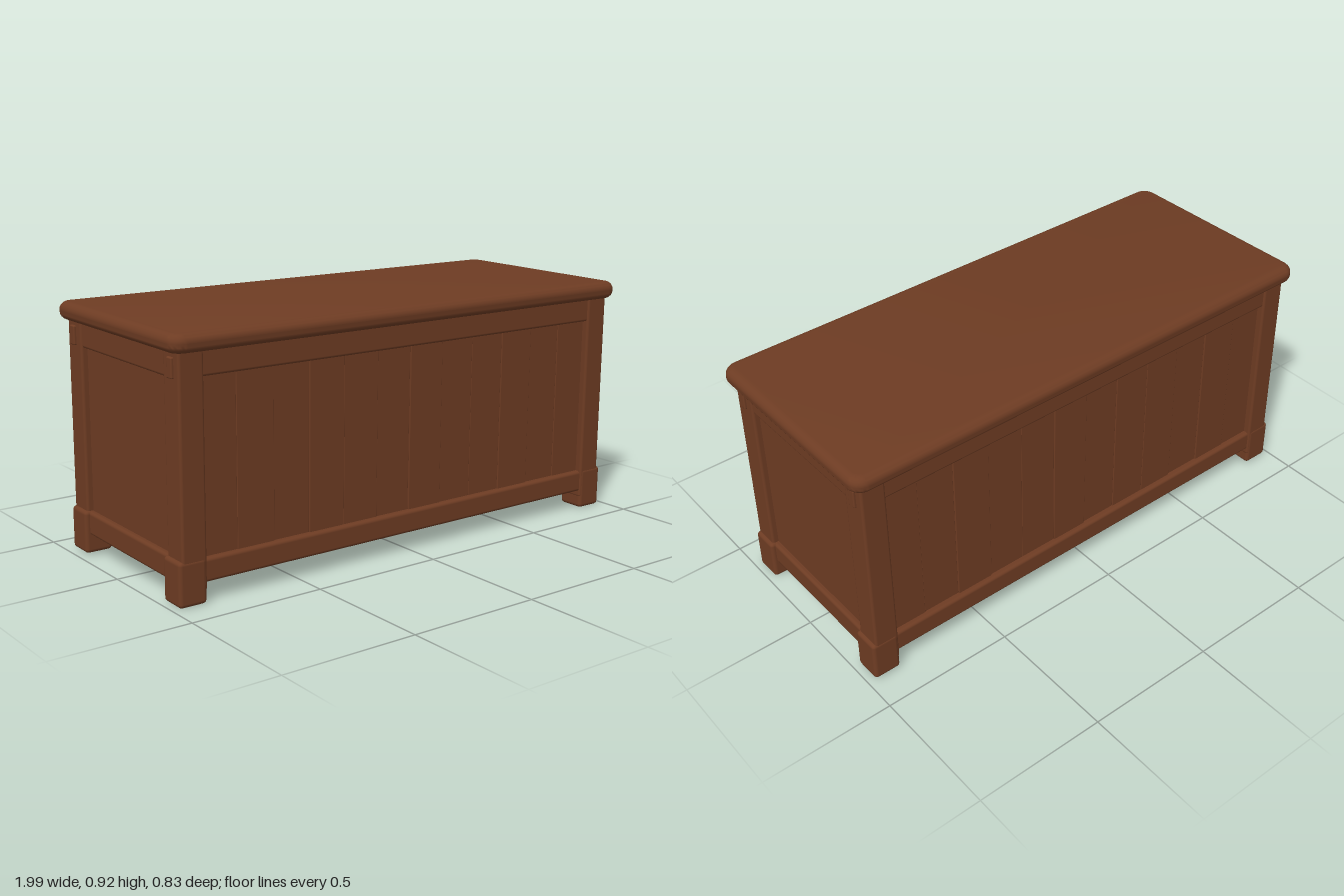
import * as THREE from 'three';
import { toCreasedNormals } from 'three/addons/utils/BufferGeometryUtils.js';
import { RoundedBoxGeometry } from 'three/addons/geometries/RoundedBoxGeometry.js';

const wood = new THREE.MeshStandardMaterial({ color: 0x6e3c23 });
wood.name = 'brown wood';

// Softened box given by its extents on each axis
function block(parent, name, [x0, x1], [y0, y1], [z0, z1], radius = 0.01) {
  const w = x1 - x0, h = y1 - y0, d = z1 - z0;
  const geo = radius > 0 ? new RoundedBoxGeometry(w, h, d, 2, radius) : new THREE.BoxGeometry(w, h, d);
  const mesh = new THREE.Mesh(geo, wood);
  mesh.name = name;
  mesh.position.set((x0 + x1) / 2, (y0 + y1) / 2, (z0 + z1) / 2);
  parent.add(mesh);
  return mesh;
}

// Extents mirrored to the given side
const side = (s, a, b) => (s > 0 ? [a, b] : [-b, -a]);

// Lid slab with round corners and a half-round edge
function makeLid() {
  const b = 0.03, w = 0.997 - b, d = 0.414 - b, r = 0.025;
  const s = new THREE.Shape();
  s.moveTo(-w + r, -d);
  s.lineTo(w - r, -d);
  s.absarc(w - r, -d + r, r, -Math.PI / 2, 0);
  s.absarc(w - r, d - r, r, 0, Math.PI / 2);
  s.absarc(-w + r, d - r, r, Math.PI / 2, Math.PI);
  s.absarc(-w + r, -d + r, r, Math.PI, Math.PI * 1.5);
  const geo = new THREE.ExtrudeGeometry(s, {
    depth: 0.005, bevelThickness: b, bevelSize: b, bevelSegments: 5, curveSegments: 5,
  });
  geo.rotateX(-Math.PI / 2);
  const mesh = new THREE.Mesh(toCreasedNormals(geo, 0.6), wood);
  mesh.name = 'lid';
  mesh.position.y = 0.881;
  return mesh;
}

export function createModel() {
  const model = new THREE.Group();
  model.name = 'chest';
  const body = new THREE.Group();
  body.name = 'body';
  body.rotation.x = 0.013; // the chest leans slightly forward
  model.add(body);

  body.add(makeLid());

  // Corner posts with wider feet and small pegs under the lid
  for (const sx of [-1, 1]) {
    for (const sz of [-1, 1]) {
      block(body, 'cornerPost', side(sx, 0.868, 0.962), [0.05, 0.87], side(sz, 0.285, 0.382));
      block(body, 'foot', side(sx, 0.87, 0.975), [0.006, 0.165], side(sz, 0.277, 0.384), 0.014);
      block(body, 'peg', side(sx, 0.94, 0.971), [0.765, 0.835], side(sz, 0.32, 0.352), 0.005);
    }
  }

  // Front and back: rails and a recessed wall of vertical planks
  const planks = 12, half = 0.88, step = (2 * half) / planks;
  for (const sz of [-1, 1]) {
    block(body, 'longTopRail', [-0.9, 0.9], [0.765, 0.87], side(sz, 0.32, 0.375));
    block(body, 'longBottomRail', [-0.9, 0.9], [0.075, 0.158], side(sz, 0.31, 0.376), 0.012);
    for (let i = 0; i < planks; i++) {
      const x = -half + i * step;
      const face = 0.354 + 0.003 * Math.sin(i * 2.3);
      block(body, 'plank', [x, x + step], [0.12, 0.8], side(sz, 0.325, face), 0.002);
    }
  }

  // Ends: rails and a flat recessed panel
  for (const sx of [-1, 1]) {
    block(body, 'endTopRail', side(sx, 0.9, 0.956), [0.76, 0.87], [-0.31, 0.31]);
    block(body, 'endBottomRail', side(sx, 0.89, 0.958), [0.075, 0.162], [-0.31, 0.31], 0.012);
    block(body, 'endPanel', side(sx, 0.9, 0.938), [0.12, 0.8], [-0.3, 0.3], 0);
  }

  // Floor set up between the bottom rails
  block(body, 'floor', [-0.91, 0.91], [0.11, 0.14], [-0.335, 0.335], 0);

  return model;
}
